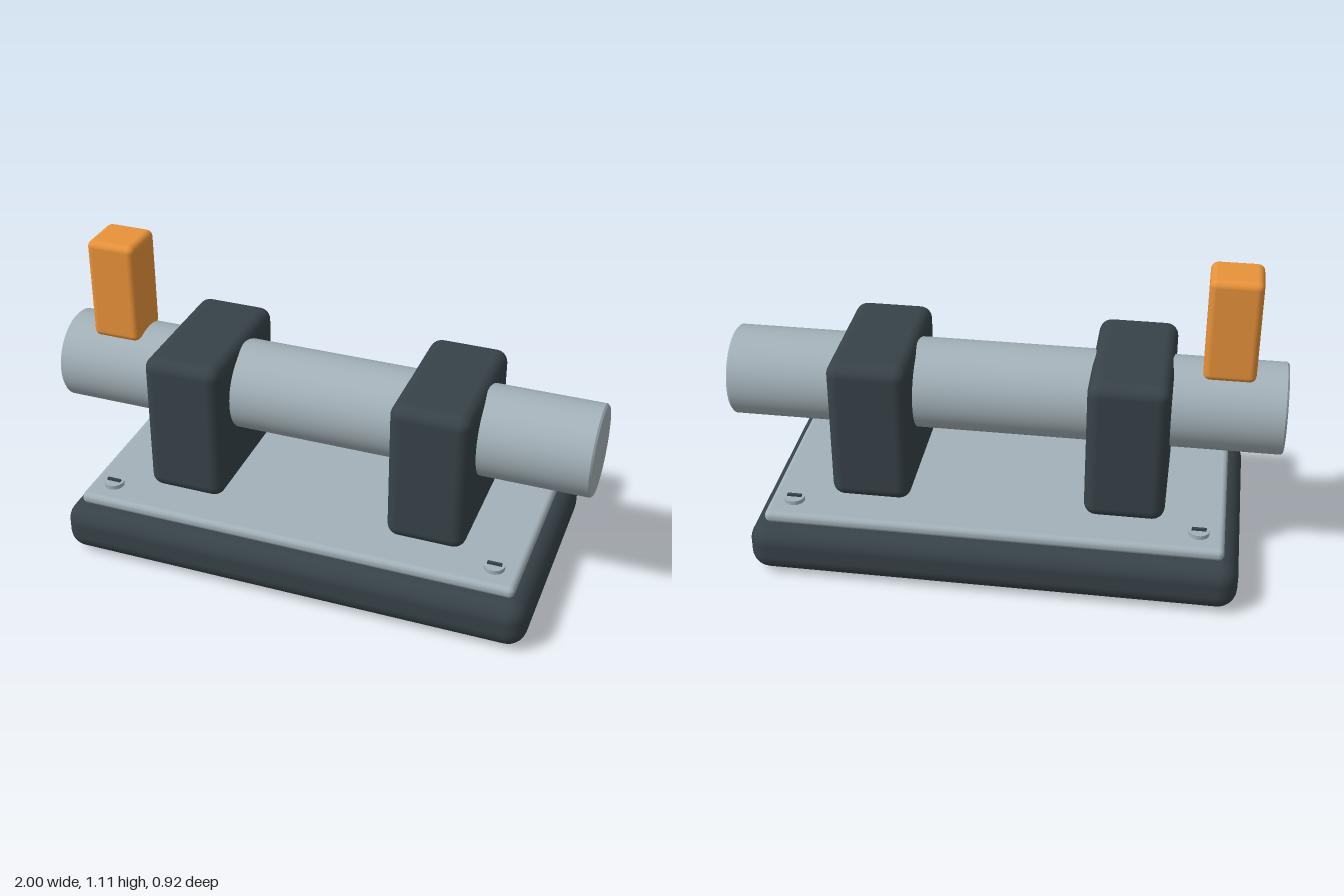
import * as THREE from 'three';
import { RoundedBoxGeometry } from 'three/addons/geometries/RoundedBoxGeometry.js';
import { toCreasedNormals } from 'three/addons/utils/BufferGeometryUtils.js';

const material = (color) => new THREE.MeshStandardMaterial({ color });

export function createModel() {
  const model = new THREE.Group();
  model.name = 'slidingBolt';
  const steel = material(0xa3b1b8);
  const dark = material(0x374248);
  const orange = material(0xe8923a);
  const rubber = material(0x1c2226);

  function add(name, geometry, mat, x, y, z, parent = model) {
    const mesh = new THREE.Mesh(geometry, mat);
    mesh.name = name;
    mesh.position.set(x, y, z);
    parent.add(mesh);
    return mesh;
  }

  // Rounded base and the plate on top of it
  add('base', new RoundedBoxGeometry(1.75, 0.185, 0.915, 4, 0.07), dark, 0, 0.1025, 0);
  add('plate', new RoundedBoxGeometry(1.64, 0.045, 0.81, 4, 0.02), steel, 0, 0.2175, 0);

  // Two blocks holding the bar
  for (const side of [-1, 1]) {
    const name = side > 0 ? 'leftBlock' : 'rightBlock';
    add(name, new RoundedBoxGeometry(0.288, 0.54, 0.54, 4, 0.045), dark, side * 0.458, 0.51, 0);
  }

  // Bar with slightly eased ends
  const profile = [[0, -1], [0.158, -1], [0.165, -0.993], [0.165, 0.993], [0.158, 1], [0, 1]]
    .map(([r, y]) => new THREE.Vector2(r, y));
  const bar = add('bar', toCreasedNormals(new THREE.LatheGeometry(profile, 64), 0.6), steel, 0, 0.595, 0);
  bar.rotation.z = Math.PI / 2;

  // Handle standing on the right end of the bar
  add('handle', new RoundedBoxGeometry(0.184, 0.384, 0.184, 4, 0.025), orange, -0.793, 0.922, 0);

  // A slotted screw and a foot at each corner
  for (const sx of [-1, 1]) {
    for (const sz of [-1, 1]) {
      const screw = new THREE.Group();
      screw.name = 'screw';
      screw.position.set(sx * 0.728, 0.244, sz * 0.312);
      model.add(screw);
      add('screwHead', new THREE.CylinderGeometry(0.037, 0.037, 0.016, 24), steel, 0, 0.008, 0, screw);
      add('screwSlot', new THREE.BoxGeometry(0.052, 0.012, 0.011), dark, 0, 0.018, 0, screw);
      add('foot', new THREE.CylinderGeometry(0.092, 0.092, 0.03, 32), rubber, sx * 0.71, 0.015, sz * 0.292);
    }
  }

  return model;
}
